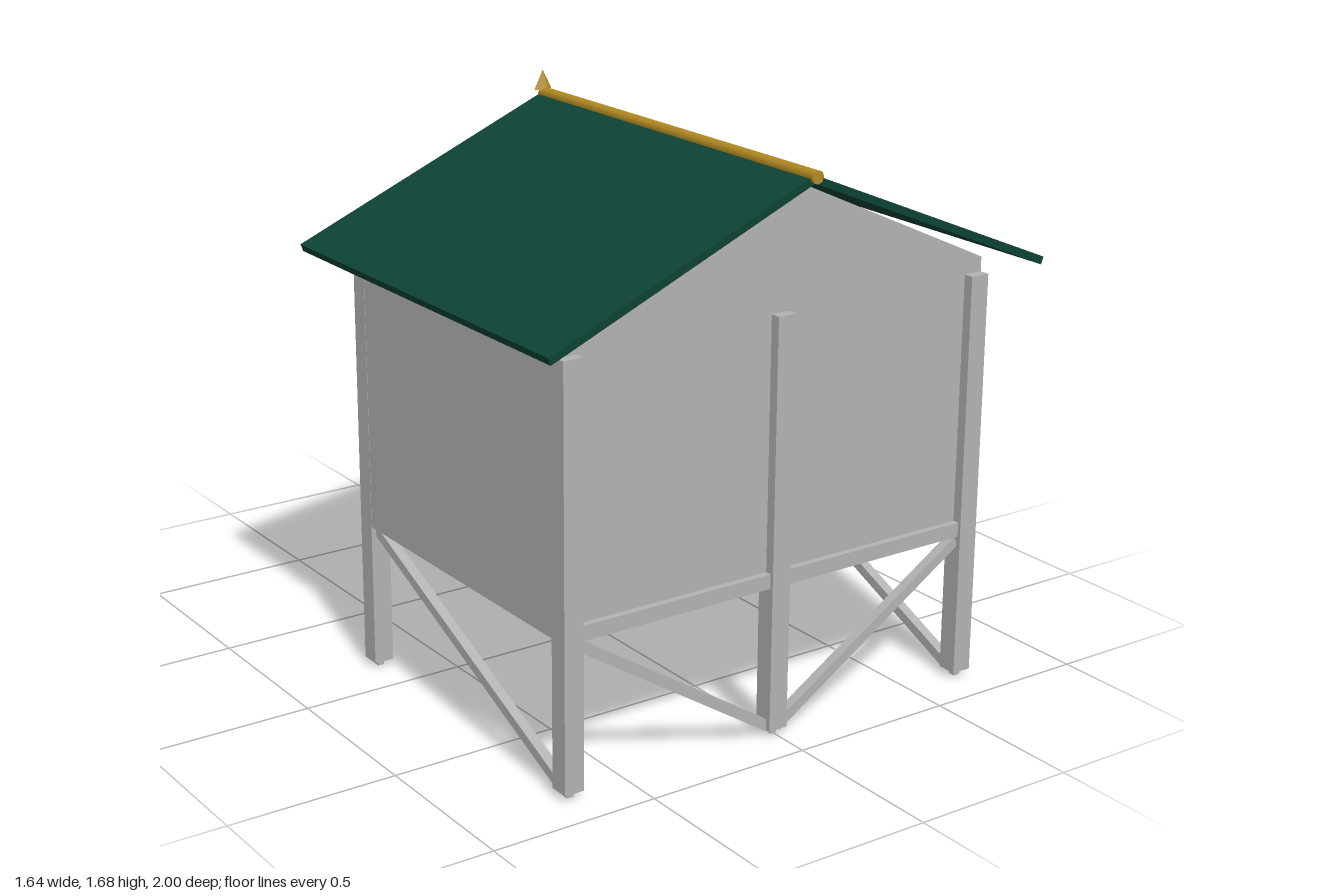
import * as THREE from 'three';

const mat = (name, color) => {
  const m = new THREE.MeshStandardMaterial({ color });
  m.name = name;
  return m;
};

export function createModel() {
  const grey = mat('grey timber', 0xb2b2b2);
  const green = mat('green roofing', 0x0d4234);
  const gold = mat('gold trim', 0xb38a22);
  const root = new THREE.Group();
  root.name = 'stiltHouse';

  const add = (name, geo, material = grey) => {
    const m = new THREE.Mesh(geo, material);
    m.name = name;
    root.add(m);
    return m;
  };
  // box given by its min and max on each axis
  const box = (name, x0, x1, y0, y1, z0, z1, material = grey) => {
    const m = add(name, new THREE.BoxGeometry(x1 - x0, y1 - y0, z1 - z0), material);
    m.position.set((x0 + x1) / 2, (y0 + y1) / 2, (z0 + z1) / 2);
    return m;
  };
  // square bar running between two points
  const bar = (name, a, b, w, h) => {
    const from = new THREE.Vector3(...a), to = new THREE.Vector3(...b);
    const m = add(name, new THREE.BoxGeometry(w, h, from.distanceTo(to)));
    m.position.copy(from).add(to).multiplyScalar(0.5);
    m.lookAt(to);
    return m;
  };
  // polygon in x, y pulled along z
  const polygon = (pts) => new THREE.Shape(pts.map(([x, y]) => new THREE.Vector2(x, y)));
  const prism = (name, shape, z0, z1, material = grey) => {
    const m = add(name, new THREE.ExtrudeGeometry(shape, { depth: z1 - z0, bevelEnabled: false }), material);
    m.position.z = z0;
    return m;
  };
  const rect = (x0, x1, y0, y1) => [[x0, y0], [x1, y0], [x1, y1], [x0, y1]];

  // house body with gables
  const outline = [[-0.709, 0.45], [0.709, 0.45], [0.709, 1.265], [0, 1.592], [-0.709, 1.265]];
  prism('houseBody', polygon(outline), -0.12, 0.86);

  // entrance wall with recessed door and window
  const wall = polygon(outline);
  wall.holes.push(polygon(rect(0.15, 0.48, 0.485, 1.12)), polygon(rect(-0.47, -0.17, 0.72, 1.02)));
  prism('entranceWall', wall, -0.15, -0.12);
  box('windowBarUpright', -0.33, -0.31, 0.72, 1.02, -0.145, -0.12);
  box('windowBarCross', -0.47, -0.17, 0.86, 0.88, -0.145, -0.12);

  // posts, feet, beams and braces on the front and back
  for (const z of [0.86, -0.15]) {
    for (const x of [-0.68, 0, 0.68]) {
      box('post', x - 0.03, x + 0.03, 0.02, 1.222, z - 0.03, z + 0.03);
      box('postFoot', x - 0.01, x + 0.01, 0, 0.02, z - 0.01, z + 0.01);
    }
    box('floorBeam', -0.65, 0.65, 0.445, 0.488, z - 0.02, z + 0.02);
    for (const s of [-1, 1]) bar('endBrace', [s * 0.65, 0.43, z], [s * 0.01, 0.02, z], 0.03, 0.03);
  }
  // long braces on the two sides
  for (const s of [-1, 1]) bar('sideBrace', [s * 0.68, 0.025, 0.83], [s * 0.68, 0.435, -0.12], 0.03, 0.03);

  // roof slopes, ridge and finial
  for (const s of [-1, 1]) {
    const slope = [[0, 1.598], [s * 0.812, 1.256], [s * 0.82, 1.277], [0, 1.62]];
    prism('roofSlope', polygon(slope), -0.285, 0.99, green);
  }
  const ridge = add('ridgeCap', new THREE.CylinderGeometry(0.019, 0.019, 1.285, 8), gold);
  ridge.rotation.x = Math.PI / 2;
  ridge.position.set(0, 1.616, 0.3575);
  const finialGeo = new THREE.ConeGeometry(0.03, 0.058, 4).toNonIndexed();
  finialGeo.computeVertexNormals();
  add('finial', finialGeo, gold).position.set(0, 1.655, -0.288);

  // porch landing and its legs
  box('landing', 0.11, 0.53, 0.455, 0.486, -0.5, -0.15);
  for (const x of [0.14, 0.495]) box('landingLeg', x - 0.016, x + 0.016, 0.02, 0.455, -0.497, -0.465);

  // stairs
  for (let i = 0; i < 5; i++) {
    const y = 0.412 - i * 0.0787, z = -0.55 - i * 0.1;
    box('stairTread', 0.11, 0.53, y - 0.013, y + 0.013, z - 0.05, z + 0.05);
  }
  for (const x of [0.125, 0.515]) bar('stairStringer', [x, 0.412, -0.55], [x, 0.105, -0.94], 0.02, 0.045);

  return root;
}
